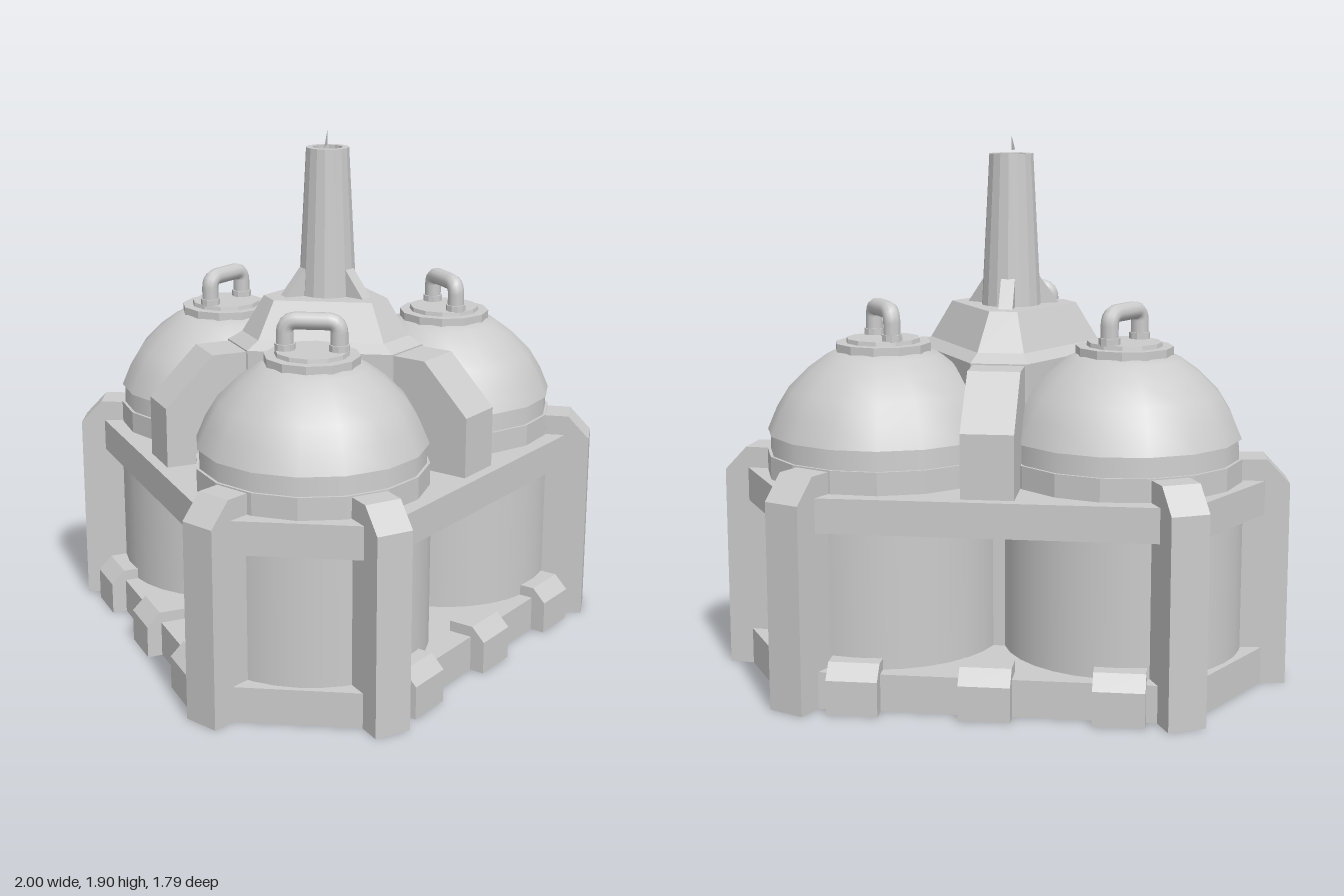
import * as THREE from 'three';

const mat = new THREE.MeshStandardMaterial({ color: 0xcccccc, side: THREE.DoubleSide });
const flat = new THREE.MeshStandardMaterial({ color: 0xcccccc, flatShading: true, side: THREE.DoubleSide });
const outer = new THREE.MeshStandardMaterial({ color: 0xcccccc, flatShading: true });
const THIRD = Math.PI * 2 / 3;

function add(parent, name, geo, material = flat) {
  const mesh = new THREE.Mesh(geo, material);
  mesh.name = name;
  parent.add(mesh);
  return mesh;
}

// Six-sided section: edges at distance d0 (front and its turns) alternate with d60
function hexSection(d0, d60) {
  const pts = [];
  for (let k = 0; k < 6; k++) {
    const d = k % 2 ? d60 : d0, next = k % 2 ? d0 : d60, a = k * Math.PI / 3;
    const t = (next - d * 0.5) / Math.sin(Math.PI / 3);
    pts.push([d * Math.sin(a) + t * Math.cos(a), d * Math.cos(a) - t * Math.sin(a)]);
  }
  return pts;
}

// Stack of six-sided sections [d0, d60, y], closed at both ends if capped
function hexLoft(levels, capped = true) {
  const rings = levels.map(([a, b, y]) => hexSection(a, b).map(([x, z]) => [x, y, z]));
  const pos = [];
  const last = rings[rings.length - 1], low = rings[0];
  for (let k = 0; k < 6; k++) {
    const n = (k + 1) % 6;
    for (let i = 0; i + 1 < rings.length; i++) {
      const A = rings[i], B = rings[i + 1];
      pos.push(...A[k], ...A[n], ...B[n], ...A[k], ...B[n], ...B[k]);
    }
    if (capped) {
      pos.push(0, last[0][1], 0, ...last[k], ...last[n]);
      pos.push(0, low[0][1], 0, ...low[n], ...low[k]);
    }
  }
  const geo = new THREE.BufferGeometry();
  geo.setAttribute('position', new THREE.Float32BufferAttribute(pos, 3));
  geo.computeVertexNormals();
  return geo;
}

// Profile of [outward, height] points with a width across x; outward is +z
function slab(points, width) {
  const shape = new THREE.Shape(points.map(p => new THREE.Vector2(...p)));
  const geo = new THREE.ExtrudeGeometry(shape, { depth: width, bevelEnabled: false });
  return geo.translate(0, 0, -width / 2).rotateY(-Math.PI / 2);
}

function lathe(points, segments = 16) {
  return new THREE.LatheGeometry(points.map(p => new THREE.Vector2(...p)), segments);
}

function makeTank() {
  const tank = new THREE.Group();
  tank.name = 'tank';
  add(tank, 'tankBody', new THREE.CylinderGeometry(0.42, 0.42, 0.6, 32, 1, true).translate(0, 0.43, 0), mat);
  add(tank, 'tankCollar', lathe([[0.415, 0.72], [0.415, 0.81], [0.4, 0.81]]));
  add(tank, 'tankNeck', lathe([[0.405, 0.8], [0.4, 0.885]]), mat);
  add(tank, 'domeLip', lathe([[0.39, 0.88], [0.412, 0.88]]));
  add(tank, 'dome', lathe([[0.412, 0.88], [0.378, 0.96], [0.335, 1.03],
    [0.265, 1.1], [0.2, 1.147], [0.15, 1.17], [0, 1.17]]), mat);
  add(tank, 'lidFlange', new THREE.CylinderGeometry(0.17, 0.17, 0.04, 12).translate(0, 1.17, 0));
  add(tank, 'lid', new THREE.CylinderGeometry(0.13, 0.135, 0.03, 12).translate(0, 1.19, 0));
  // Carrying handle with a foot on each side
  const path = new THREE.CurvePath();
  const v = (x, y) => new THREE.Vector3(x, y, 0);
  path.add(new THREE.LineCurve3(v(-0.095, 1.19), v(-0.095, 1.27)));
  path.add(new THREE.QuadraticBezierCurve3(v(-0.095, 1.27), v(-0.093, 1.307), v(-0.055, 1.308)));
  path.add(new THREE.LineCurve3(v(-0.055, 1.308), v(0.055, 1.308)));
  path.add(new THREE.QuadraticBezierCurve3(v(0.055, 1.308), v(0.093, 1.307), v(0.095, 1.27)));
  path.add(new THREE.LineCurve3(v(0.095, 1.27), v(0.095, 1.19)));
  add(tank, 'handle', new THREE.TubeGeometry(path, 30, 0.031, 10), mat);
  for (const s of [-1, 1]) {
    add(tank, 'handleFoot', new THREE.CylinderGeometry(0.037, 0.037, 0.025, 10).translate(s * 0.095, 1.215, 0));
  }
  return tank;
}

export function createModel() {
  const model = new THREE.Group();
  model.name = 'tankCluster';
  const core = new THREE.Group();
  core.name = 'core';
  core.position.z = -0.11;
  model.add(core);

  // Two truncated triangular trays: a thin deck with a skirt, open below
  for (const [name, low, top] of [['base', 0, 0.13], ['upperBand', 0.61, 0.73]]) {
    add(core, name + 'Deck', hexLoft([[0.93, 0.71, top - 0.005], [0.93, 0.71, top]]));
    add(core, name + 'Skirt', hexLoft([[0.93, 0.71, low], [0.93, 0.71, top - 0.005]], false), outer);
  }

  // Central hub column and chimney
  add(core, 'hub', hexLoft([[0.265, 0.36, 0.118], [0.265, 0.36, 1.135], [0.225, 0.31, 1.165], [0.16, 0.235, 1.3]]));
  add(core, 'chimney', lathe([[0.108, 1.28], [0.079, 1.84], [0.055, 1.84], [0.06, 1.6], [0, 1.6]], 16));
  const vane = new THREE.Shape([[0, 1.85], [0.115, 1.85], [0, 1.905]].map(p => new THREE.Vector2(...p)));
  add(core, 'chimneyVane', new THREE.ShapeGeometry(vane).rotateY(-Math.PI / 2));

  for (let i = 0; i < 3; i++) {
    // Tank on a short side
    const corner = new THREE.Group();
    corner.name = 'corner';
    corner.rotation.y = i * THIRD;
    core.add(corner);
    const tank = makeTank();
    tank.position.z = 0.49;
    corner.add(tank);
    // Upright posts at both ends of the short side
    for (const s of [-1, 1]) {
      const post = add(corner, 'post', slab([[-0.17, 0], [0, 0], [0, 0.72], [-0.08, 0.805], [-0.17, 0.805]], 0.135));
      post.position.set(s * 0.327, 0, 0.962);
      post.rotation.y = s * 0.61;
    }

    // Parts on a long side
    const side = new THREE.Group();
    side.name = 'side';
    side.rotation.y = i * THIRD + Math.PI / 3;
    core.add(side);
    add(side, 'rib', slab([[0.2, 0.7], [0.67, 0.7], [0.67, 0.95], [0.49, 1.13], [0.2, 1.13]], 0.18));
    add(side, 'chimneyFin', slab([[0.05, 1.29], [0.185, 1.29], [0.1, 1.4], [0.05, 1.4]], 0.05));
    for (const x of [-0.445, 0, 0.445]) {
      add(side, 'baseClamp', slab([[0.62, 0], [0.765, 0], [0.765, 0.12], [0.715, 0.17], [0.62, 0.17]], 0.175))
        .position.x = x;
    }
  }
  return model;
}
